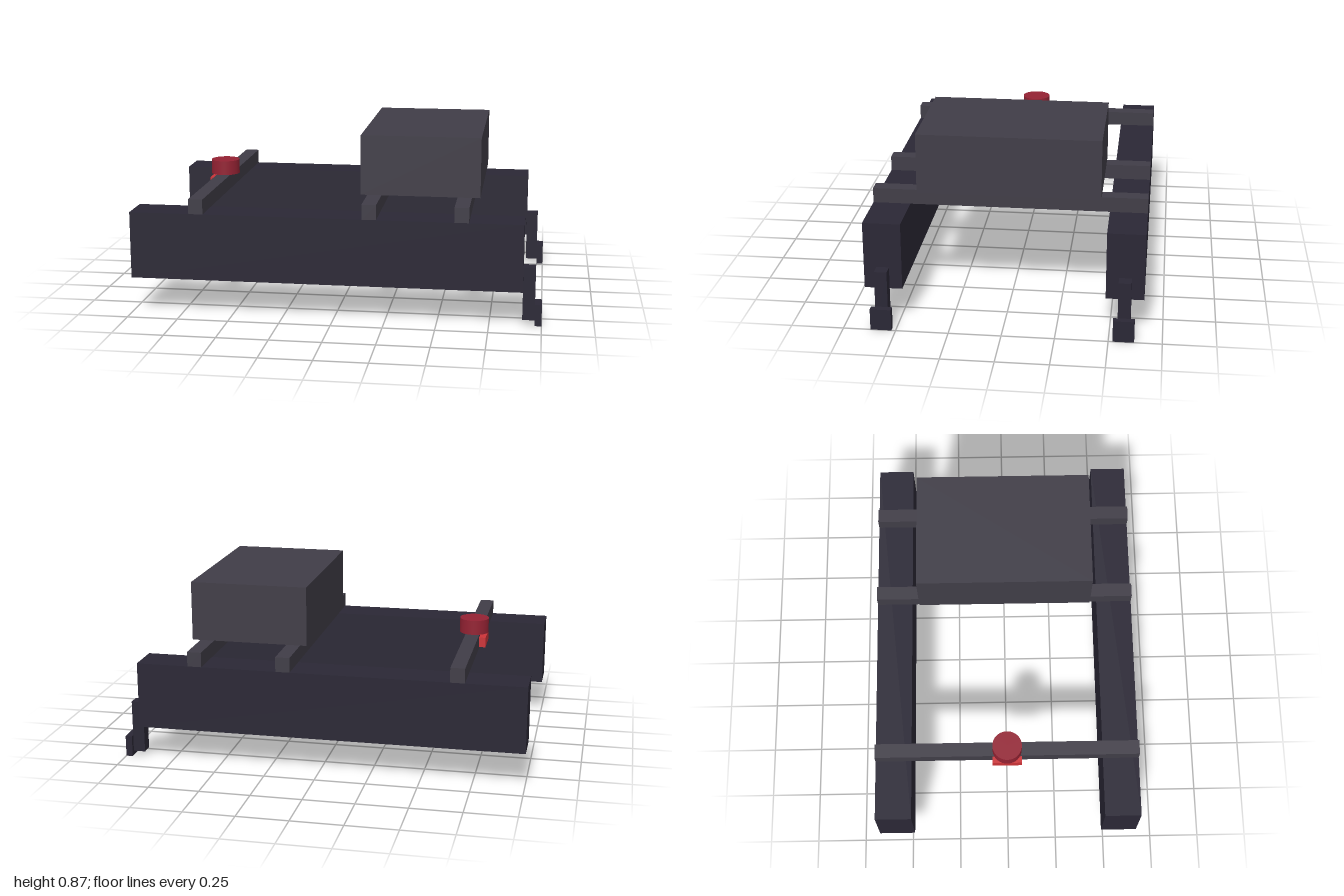
import * as THREE from 'three';

const material = (color) => new THREE.MeshStandardMaterial({ color });

export function createModel() {
  const model = new THREE.Group();
  model.name = 'catamaranFrame';
  const hullMat = material(0x2a2735);
  const frameMat = material(0x403d47);
  const redMat = material(0x942233);
  const brightRedMat = material(0xcc3338);

  // Box given by its extents along each axis
  const box = (name, mat, [x0, x1], [y0, y1], [z0, z1]) => {
    const mesh = new THREE.Mesh(new THREE.BoxGeometry(x1 - x0, y1 - y0, z1 - z0), mat);
    mesh.position.set((x0 + x1) / 2, (y0 + y1) / 2, (z0 + z1) / 2);
    mesh.name = name;
    model.add(mesh);
  };

  // Hulls, each with a thruster strut and pod at the +x end
  for (const side of [1, -1]) {
    const span = (a, b) => (side > 0 ? [a, b] : [-b, -a]);
    const label = side > 0 ? 'front' : 'back';
    box(label + 'Hull', hullMat, [-1, 0.908], [0.175, 0.504], span(0.48, 0.66));
    box(label + 'Strut', hullMat, [0.908, 0.967], [0.022, 0.283], span(0.54, 0.6));
    box(label + 'Pod', hullMat, [0.967, 1], [0, 0.105], span(0.52, 0.62));
  }

  // Crossbars joining the hulls
  [-0.67, 0.173, 0.614].forEach((x, i) => {
    box('crossbar' + (i + 1), frameMat, [x - 0.035, x + 0.035], [0.504, 0.577], [-0.66, 0.66]);
  });

  // Equipment case
  box('equipmentCase', frameMat, [0.105, 0.69], [0.577, 0.872], [-0.44, 0.44]);

  // Round sensor on the narrow crossbar with a camera bar beside it
  const sensor = new THREE.Mesh(new THREE.CylinderGeometry(0.073, 0.073, 0.073, 32), redMat);
  sensor.position.set(-0.672, 0.6135, 0);
  sensor.name = 'roundSensor';
  model.add(sensor);
  box('cameraBar', brightRedMat, [-0.738, -0.705], [0.515, 0.565], [-0.073, 0.073]);

  return model;
}
